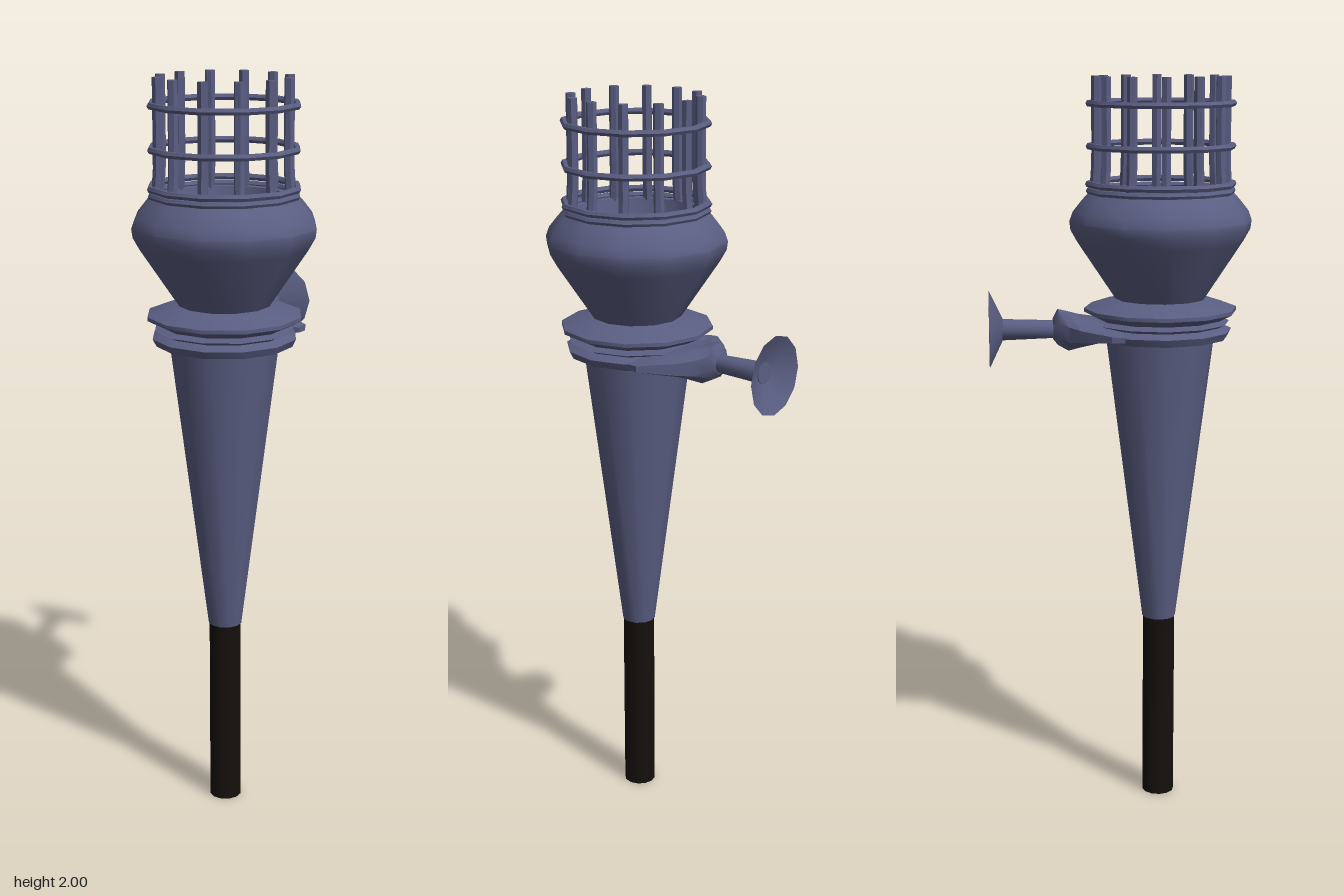
import * as THREE from 'three';
import { toCreasedNormals } from 'three/addons/utils/BufferGeometryUtils.js';

const SIDES = 12;
const AXIS_Z = 0.108; // the torch stands forward of the wall mount
const metal = new THREE.MeshStandardMaterial({ color: 0x5a5e82, side: THREE.DoubleSide });
const grip = new THREE.MeshStandardMaterial({ color: 0x15100c });
const ember = new THREE.MeshStandardMaterial({ color: 0xff3412 });

function part(name, geometry, material = metal) {
  const mesh = new THREE.Mesh(toCreasedNormals(geometry, 0.62), material);
  mesh.name = name;
  return mesh;
}

// Profile given as [radius, height] pairs from bottom to top
function turned(name, profile, sides = SIDES) {
  return part(name, new THREE.LatheGeometry(profile.map(([r, y]) => new THREE.Vector2(r, y)), sides));
}

// Cage bar that leans outward towards its foot
function barGeometry() {
  const geo = new THREE.CylinderGeometry(0.0135, 0.0135, 0.34, 6, 6);
  geo.translate(0, 1.83, 0);
  const pos = geo.attributes.position;
  for (let i = 0; i < pos.count; i++) {
    const lean = Math.max(0, (1.8 - pos.getY(i)) / 0.14);
    pos.setZ(i, pos.getZ(i) + 0.17 + 0.013 * lean * lean);
  }
  return geo;
}

// Bracket lofted through eight-sided sections: [z, half width, bottom, top, x offset]
function bracketGeometry() {
  const sections = [
    [0.0, 0.175, 1.318, 1.35, 0],
    [-0.035, 0.178, 1.315, 1.355, 0.005],
    [-0.11, 0.108, 1.293, 1.37, 0.008],
    [-0.14, 0.07, 1.282, 1.38, 0.01],
    [-0.167, 0.04, 1.295, 1.388, 0.01],
    [-0.18, 0.026, 1.31, 1.365, 0.01],
  ];
  const n = 8, pos = [], index = [];
  for (const [z, w, low, high, x] of sections) {
    for (let i = 0; i < n; i++) {
      const a = ((i + 0.5) / n) * Math.PI * 2;
      pos.push(x + w * Math.cos(a) * 1.08, (low + high) / 2 + ((high - low) / 2) * Math.sin(a) * 1.08, z);
    }
  }
  for (let s = 0; s < sections.length - 1; s++) {
    for (let i = 0; i < n; i++) {
      const a = s * n + i, b = s * n + ((i + 1) % n);
      index.push(a, a + n, b, b, a + n, b + n);
    }
  }
  // End caps
  const last = (sections.length - 1) * n;
  for (let i = 1; i < n - 1; i++) {
    index.push(0, i, i + 1, last, last + i + 1, last + i);
  }
  const geo = new THREE.BufferGeometry();
  geo.setAttribute('position', new THREE.Float32BufferAttribute(pos, 3));
  geo.setIndex(index);
  geo.computeVertexNormals();
  return geo;
}

export function createModel() {
  const model = new THREE.Group();
  model.name = 'wallTorch';

  const torch = new THREE.Group();
  torch.name = 'torch';
  torch.position.z = AXIS_Z;
  model.add(torch);

  // Handle and tapered shaft
  const handle = part('handle', new THREE.CylinderGeometry(0.044, 0.044, 0.53, SIDES), grip);
  handle.position.y = 0.265;
  torch.add(handle);
  torch.add(turned('shaft', [[0, 0.525], [0.046, 0.525], [0.148, 1.33], [0, 1.33]]));

  // Stepped collars around the neck
  torch.add(turned('lowerCollar', [
    [0.12, 1.315], [0.182, 1.315], [0.192, 1.335], [0.166, 1.347], [0.186, 1.356], [0.12, 1.365],
  ]));
  torch.add(turned('upperCollar', [
    [0.12, 1.358], [0.17, 1.366], [0.205, 1.384], [0.205, 1.394], [0.15, 1.412], [0.112, 1.42],
  ]));

  // Bowl with its hollow inside
  torch.add(turned('bowl', [
    [0, 1.405], [0.115, 1.41], [0.222, 1.57], [0.24, 1.602], [0.243, 1.625],
    [0.234, 1.65], [0.21, 1.68], [0.19, 1.702], [0.168, 1.7], [0.145, 1.61],
  ]));

  // Glowing coals in the bowl
  const coals = part('coals', new THREE.CylinderGeometry(0.147, 0.147, 0.02, SIDES), ember);
  coals.position.y = 1.602;
  torch.add(coals);

  // Cage of upright bars and hoops
  const cage = new THREE.Group();
  cage.name = 'cage';
  torch.add(cage);
  const barShape = barGeometry();
  for (let i = 0; i < 12; i++) {
    const bar = part('cageBar', barShape);
    bar.rotation.y = (i / 12) * Math.PI * 2 - 0.03;
    cage.add(bar);
  }
  for (const [y, r] of [[1.93, 0.19], [1.82, 0.19], [1.722, 0.192], [1.704, 0.19]]) {
    const hoop = part('cageHoop', new THREE.TorusGeometry(r, 0.009, 6, SIDES));
    hoop.rotation.x = Math.PI / 2;
    hoop.position.y = y;
    cage.add(hoop);
  }

  // Wall mount: bracket, rod and flared hollow plate
  model.add(part('bracket', bracketGeometry()));
  const rod = part('mountRod', new THREE.CylinderGeometry(0.029, 0.024, 0.145, SIDES));
  rod.rotation.x = -Math.PI / 2;
  rod.position.set(0.011, 1.336, -0.245);
  model.add(rod);
  const flare = turned('wallPlate', [[0, 0], [0.03, 0], [0.106, 0.036]]);
  flare.rotation.x = -Math.PI / 2;
  flare.position.set(0.014, 1.336, -0.315);
  model.add(flare);

  return model;
}
